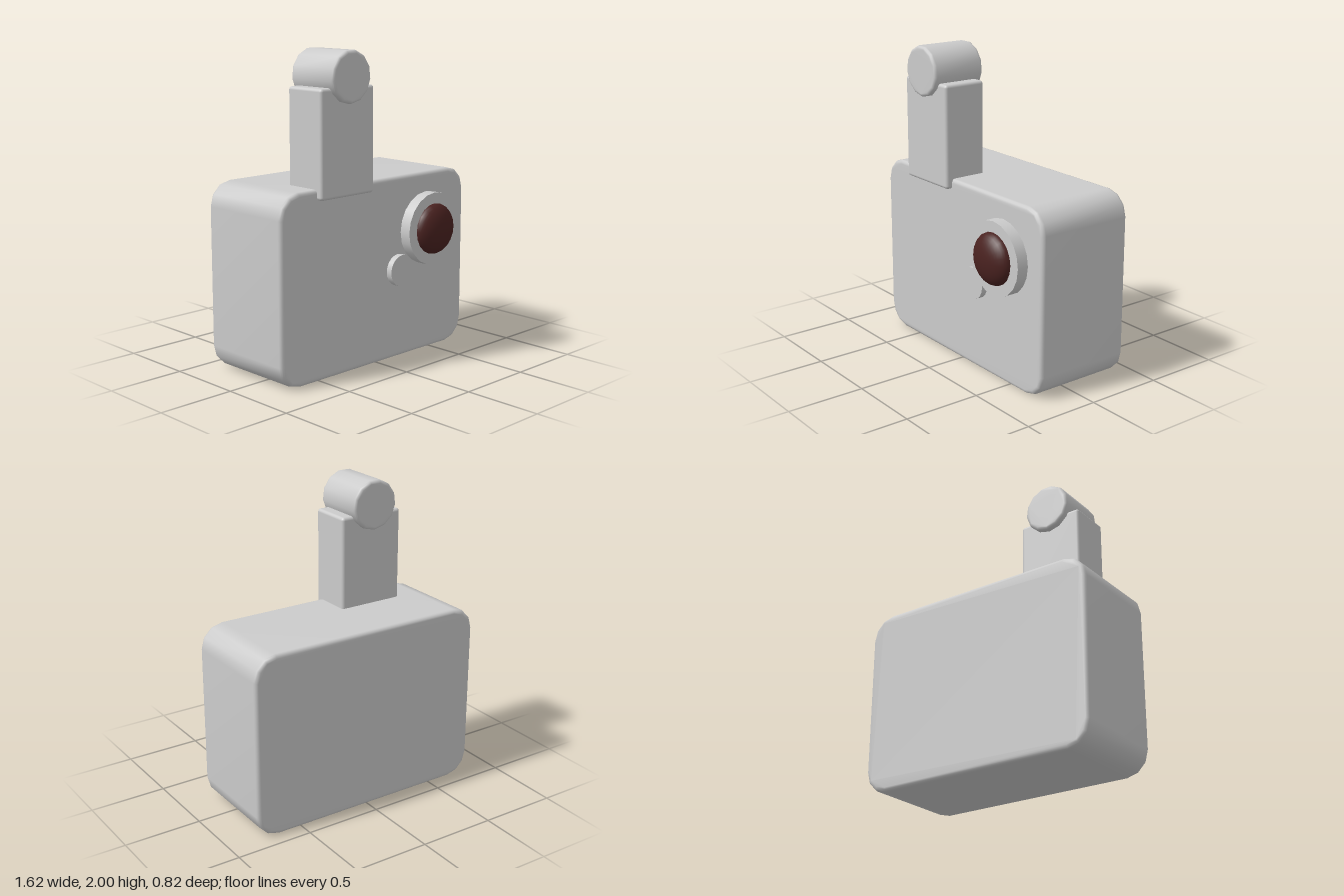
import * as THREE from 'three';
import { mergeVertices } from 'three/addons/utils/BufferGeometryUtils.js';
import { RoundedBoxGeometry } from 'three/addons/geometries/RoundedBoxGeometry.js';

const grey = new THREE.MeshStandardMaterial({ color: 0xcccccc });
const darkRed = new THREE.MeshStandardMaterial({ color: 0x4a2220 });

// Prism along z with softly rounded rims; welded so the shading is smooth
// while the large flat faces keep their own direction.
function softPrism(points, z0, z1, bevel) {
  const geo = new THREE.ExtrudeGeometry(new THREE.Shape(points), {
    depth: z1 - z0 - 2 * bevel,
    bevelThickness: bevel,
    bevelSize: bevel,
    bevelOffset: -bevel,
    bevelSegments: 3,
  });
  geo.translate(0, 0, z0 + bevel);
  geo.deleteAttribute('normal');
  geo.deleteAttribute('uv');
  const welded = mergeVertices(geo, 1e-4);
  welded.computeVertexNormals();
  return welded;
}

// Outline of a rectangle with three-step rounded corners
function roundedRect(halfW, y0, y1, r) {
  const points = [];
  const corners = [[halfW - r, y1 - r], [r - halfW, y1 - r], [r - halfW, y0 + r], [halfW - r, y0 + r]];
  corners.forEach(([cx, cy], i) => {
    for (let k = 0; k <= 3; k++) {
      const a = (i + k / 3) * Math.PI / 2;
      points.push(new THREE.Vector2(cx + r * Math.cos(a), cy + r * Math.sin(a)));
    }
  });
  return points;
}

// Regular polygon with one corner pointing straight down
function polygon(cx, cy, r, sides) {
  return Array.from({ length: sides }, (_, i) => {
    const a = -Math.PI / 2 + i / sides * Math.PI * 2;
    return new THREE.Vector2(cx + r * Math.cos(a), cy + r * Math.sin(a));
  });
}

// Plain disc facing the front
function disc(x, y, r, z0, z1, sides) {
  const geo = new THREE.CylinderGeometry(r, r, z1 - z0, sides);
  return geo.rotateX(Math.PI / 2).translate(x, y, (z0 + z1) / 2);
}

export function createModel() {
  const model = new THREE.Group();
  const add = (name, geo, material = grey) => {
    const mesh = new THREE.Mesh(geo, material);
    mesh.name = name;
    model.add(mesh);
  };

  add('body', softPrism(roundedRect(0.81, 0, 1.185, 0.15), -0.41, 0.25, 0.025));

  // Upright arm with a round knob lying across its top
  add('arm', new RoundedBoxGeometry(0.44, 0.66, 0.29, 3, 0.02).translate(-0.3, 1.45, 0.145));
  add('knob', softPrism(polygon(-0.3, 1.84, 0.161, 13), -0.04, 0.325, 0.02));

  // Front details
  add('lensRing', disc(0.44, 0.82, 0.236, 0.2, 0.325, 20));
  add('button', disc(0.18, 0.58, 0.102, 0.2, 0.29, 20));

  // Flattened half-sphere lens
  const lens = new THREE.SphereGeometry(0.166, 20, 10, 0, Math.PI * 2, 0, Math.PI / 2);
  lens.scale(1, 0.52, 1).rotateX(Math.PI / 2).translate(0.44, 0.82, 0.323);
  add('lens', lens, darkRed);

  return model;
}
